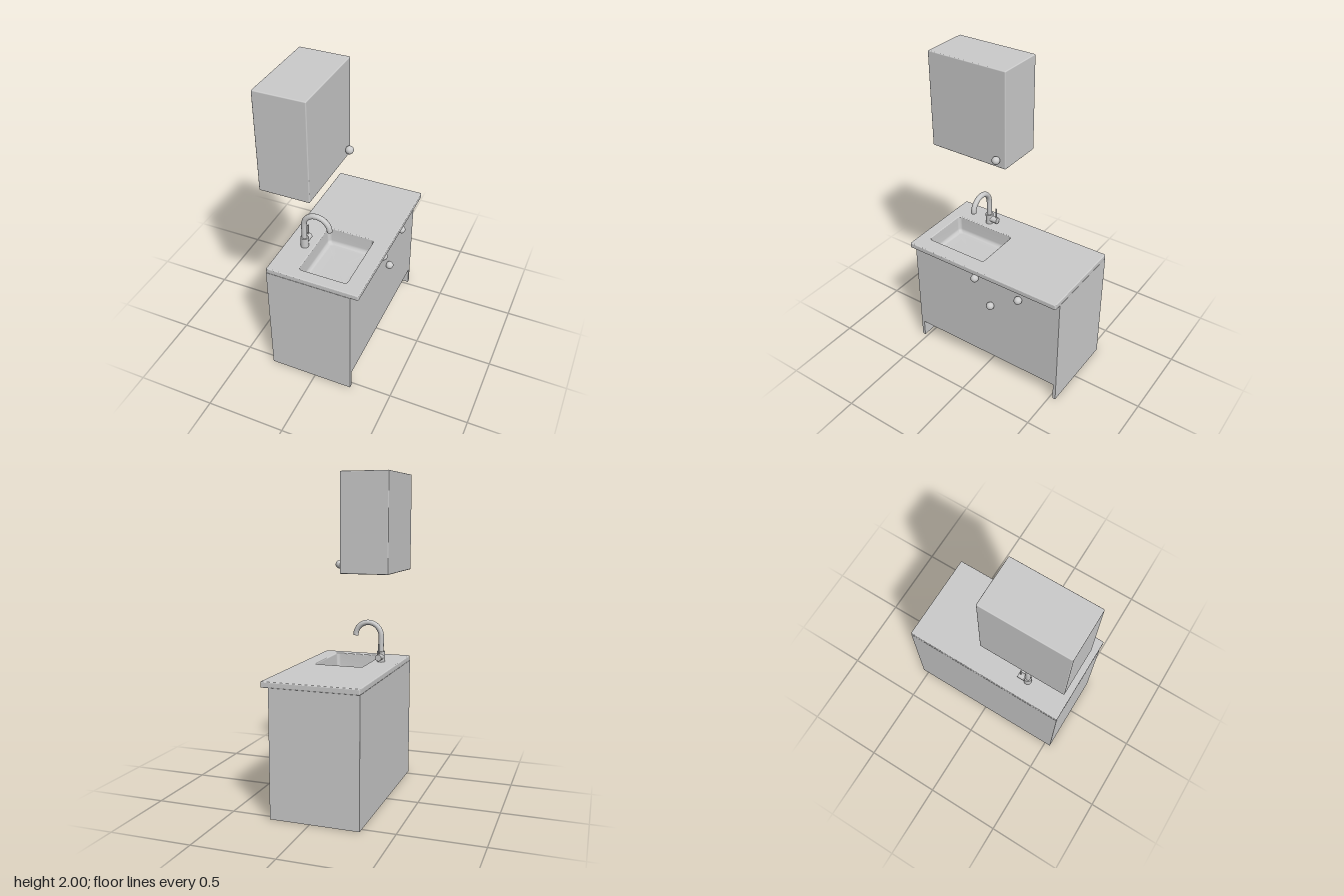
import * as THREE from 'three';
import { RoundedBoxGeometry } from 'three/addons/geometries/RoundedBoxGeometry.js';

const grey = new THREE.MeshStandardMaterial({ color: 0xcccccc });
const greyDouble = new THREE.MeshStandardMaterial({ color: 0xcccccc, side: THREE.DoubleSide });

// Rounded rectangle in plan; shape y is -z
function roundedRect(x0, x1, z0, z1, r, Type = THREE.Shape) {
  const a = -z1, b = -z0, s = new Type();
  s.moveTo(x0 + r, a);
  s.lineTo(x1 - r, a);
  s.absarc(x1 - r, a + r, r, -Math.PI / 2, 0, false);
  s.lineTo(x1, b - r);
  s.absarc(x1 - r, b - r, r, 0, Math.PI / 2, false);
  s.lineTo(x0 + r, b);
  s.absarc(x0 + r, b - r, r, Math.PI / 2, Math.PI, false);
  s.lineTo(x0, a + r);
  s.absarc(x0 + r, a + r, r, Math.PI, Math.PI * 1.5, false);
  return s;
}

// Open basin lofted through inset rings, closed by a floor fan
function basinGeometry(x0, x1, z0, z1, levels) {
  const pos = [], idx = [];
  let n = 0;
  for (const [inset, y] of levels) {
    const pts = roundedRect(x0 + inset, x1 - inset, z0 + inset, z1 - inset, 0.022).getPoints(5);
    n = pts.length;
    for (const p of pts) pos.push(p.x, y, -p.y);
  }
  for (let k = 0; k < levels.length - 1; k++) {
    for (let i = 0; i < n; i++) {
      const a = k * n + i, b = k * n + (i + 1) % n;
      idx.push(a, b, a + n, b, b + n, a + n);
    }
  }
  const last = (levels.length - 1) * n, centre = pos.length / 3;
  pos.push((x0 + x1) / 2, levels[levels.length - 1][1], (z0 + z1) / 2);
  for (let i = 0; i < n; i++) idx.push(last + i, last + (i + 1) % n, centre);
  const g = new THREE.BufferGeometry();
  g.setAttribute('position', new THREE.Float32BufferAttribute(pos, 3));
  g.setIndex(idx);
  g.computeVertexNormals();
  return g;
}

export function createModel() {
  const model = new THREE.Group();
  model.name = 'kitchenette';

  const add = (name, geometry, x = 0, y = 0, z = 0, material = grey) => {
    const mesh = new THREE.Mesh(geometry, material);
    mesh.name = name;
    mesh.position.set(x, y, z);
    model.add(mesh);
    return mesh;
  };
  // Box given by its limits on each axis
  const panel = (name, x0, x1, y0, y1, z0, z1) =>
    add(name, new THREE.BoxGeometry(x1 - x0, y1 - y0, z1 - z0),
      (x0 + x1) / 2, (y0 + y1) / 2, (z0 + z1) / 2);
  const knob = (name, x, y, z) => add(name, new THREE.SphereGeometry(0.025, 20, 14), x, y, z);

  // Base cabinet with recessed kick board
  const zEnd = 0.54, top = 0.778;
  panel('leftEndPanel', -0.3, 0.245, 0, top, zEnd - 0.02, zEnd);
  panel('rightEndPanel', -0.3, 0.245, 0, top, -zEnd, -zEnd + 0.02);
  panel('backPanel', -0.3, -0.28, 0, top, -0.52, 0.52);
  panel('frontPanel', 0.225, 0.245, 0.12, top, -0.52, 0.52);
  panel('cabinetFloor', -0.28, 0.225, 0.12, 0.14, -0.52, 0.52);
  panel('kickBoard', 0.125, 0.145, 0, 0.12, -0.52, 0.52);
  panel('bottomPanel', -0.28, 0.125, 0, 0.02, -0.52, 0.52);

  // Worktop with sink cut-out
  const bevel = 0.006;
  const sink = [-0.12, 0.19, 0.045, 0.465];
  const slab = roundedRect(-0.3 + bevel, 0.295 - bevel, -zEnd + bevel, zEnd - bevel, 0.002);
  slab.holes.push(roundedRect(sink[0] - bevel, sink[1] + bevel, sink[2] - bevel, sink[3] + bevel, 0.026, THREE.Path));
  const slabGeometry = new THREE.ExtrudeGeometry(slab, {
    depth: 0.036 - 2 * bevel, bevelThickness: bevel, bevelSize: bevel, bevelSegments: 3, curveSegments: 6,
  });
  slabGeometry.rotateX(-Math.PI / 2);
  add('worktop', slabGeometry, 0, 0.776 + bevel, 0);

  // Sink basin
  add('sinkBasin', basinGeometry(...sink, [
    [0, 0.805], [0.003, 0.725], [0.007, 0.711], [0.017, 0.703], [0.03, 0.7],
  ]), 0, 0, 0, greyDouble);

  // Tap: base, swan neck, side valve and lever
  const tx = -0.18, tz = 0.26, bend = 0.085, bendY = 0.977;
  add('tapBase', new THREE.CylinderGeometry(0.025, 0.025, 0.07, 24), tx, 0.845, tz);
  const neck = [new THREE.Vector3(tx, 0.86, tz), new THREE.Vector3(tx, 0.92, tz)];
  for (let i = 0; i <= 12; i++) {
    const a = Math.PI * (1 - i / 12);
    neck.push(new THREE.Vector3(tx + bend + bend * Math.cos(a), bendY + bend * Math.sin(a), tz));
  }
  add('tapNeck', new THREE.TubeGeometry(new THREE.CatmullRomCurve3(neck), 60, 0.017, 16));
  const outlet = add('tapOutlet', new THREE.CircleGeometry(0.017, 16), tx + 2 * bend, bendY, tz, greyDouble);
  outlet.rotation.x = Math.PI / 2;
  const valve = add('tapValve', new THREE.CylinderGeometry(0.021, 0.021, 0.065, 20), tx, 0.846, 0.228);
  valve.rotation.x = Math.PI / 2;
  add('tapLever', new THREE.CylinderGeometry(0.005, 0.005, 0.09, 10), tx, 0.89, 0.207);

  // Base cabinet knobs
  for (const [y, z] of [[0.72, 0.06], [0.695, -0.26], [0.553, -0.055]]) knob('drawerKnob', 0.262, y, z);

  // Wall cabinet
  add('wallCabinet', new RoundedBoxGeometry(0.305, 0.612, 0.54, 3, 0.006), -0.1425, 1.694, 0.272);
  knob('wallCabinetKnob', 0.029, 1.442, 0.057);

  return model;
}
